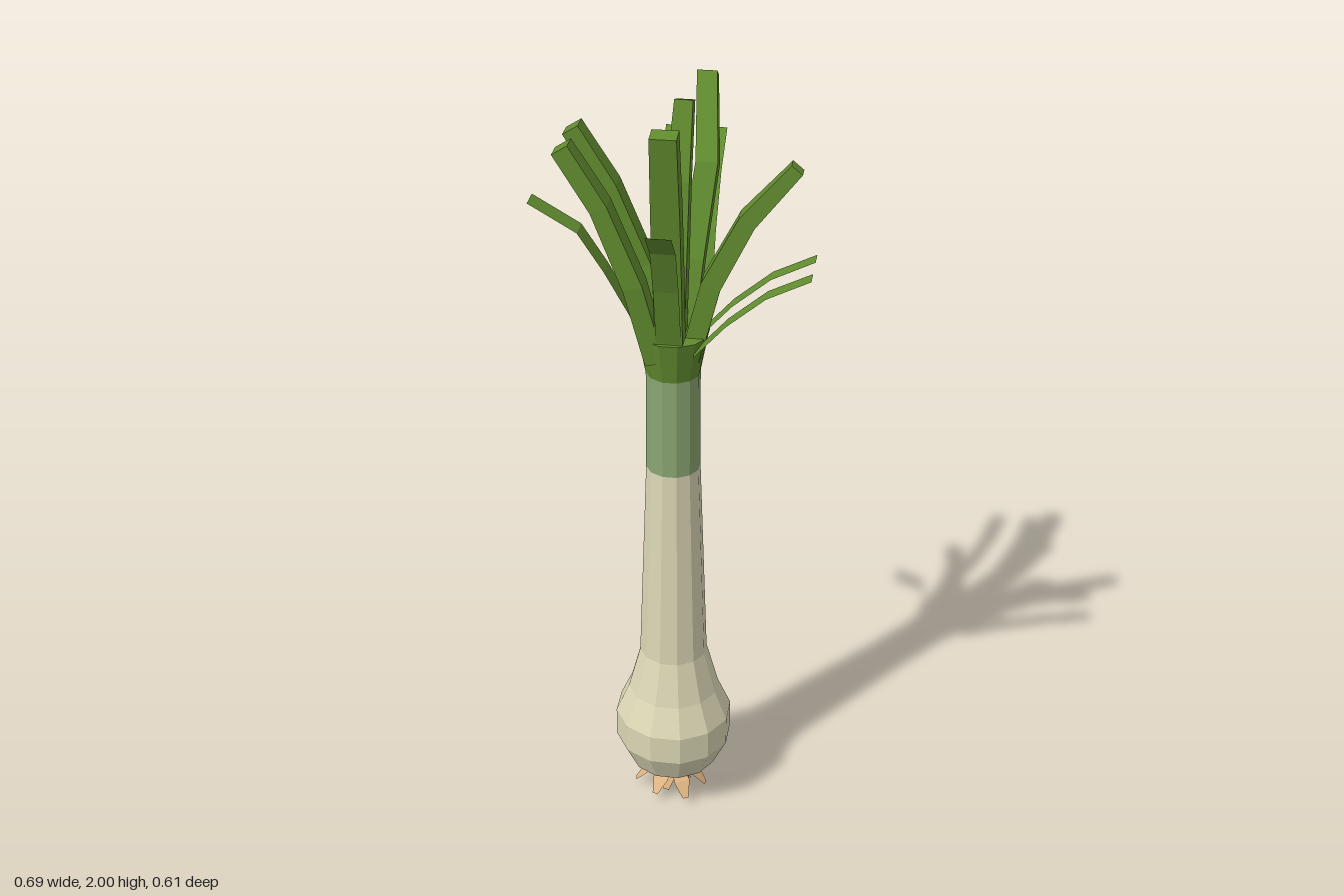
import * as THREE from 'three';

const flat = (name, color) => {
  const m = new THREE.MeshStandardMaterial({ color, flatShading: true, side: THREE.DoubleSide });
  m.name = name;
  return m;
};

export function createModel() {
  const group = new THREE.Group();
  const white = flat('creamWhite', 0xdcd7b5);
  const pale = flat('paleGreen', 0x8aa673);
  const green = flat('leafGreen', 0x618c2f);
  const tan = flat('rootTan', 0xdfb383);
  const CZ = 0.072; // the stem axis

  const add = (name, geometry, material) => {
    const mesh = new THREE.Mesh(geometry, material);
    mesh.name = name;
    group.add(mesh);
    return mesh;
  };

  // Twelve-sided stem sections
  const lathe = (name, profile, material) => {
    const pts = profile.map(([r, y]) => new THREE.Vector2(r, y));
    add(name, new THREE.LatheGeometry(pts, 12, Math.PI / 12), material).position.z = CZ;
  };
  lathe('bulb', [[0, 0.07], [0.065, 0.075], [0.118, 0.11], [0.157, 0.19], [0.157, 0.27],
    [0.122, 0.35], [0.09, 0.47], [0.07, 1.04]], white);
  lathe('paleStem', [[0.07, 1.04], [0.069, 1.31]], pale);
  lathe('collar', [[0.069, 1.31], [0.09, 1.42], [0, 1.42]], green);

  // Bend a unit box or plane along a path of [x, y, z, width, thickness]
  const sweep = (name, path, side, material, sheet) => {
    const n = path.length - 1;
    const g = sheet ? new THREE.PlaneGeometry(1, 1, 1, n) : new THREE.BoxGeometry(1, 1, 1, 1, n, 1);
    const s = new THREE.Vector3(...side).normalize();
    const at = (i) => new THREE.Vector3().fromArray(path[i]);
    const frames = path.map((_, i) => {
      const t = at(Math.min(n, i + 1)).sub(at(Math.max(0, i - 1))).normalize();
      return s.clone().cross(t).normalize();
    });
    const p = g.attributes.position;
    for (let i = 0; i < p.count; i++) {
      const k = Math.round((p.getY(i) + 0.5) * n);
      const v = at(k).addScaledVector(s, p.getX(i) * path[k][3]);
      if (!sheet) v.addScaledVector(frames[k], p.getZ(i) * path[k][4]);
      p.setXYZ(i, v.x, v.y, v.z);
    }
    g.computeVertexNormals();
    return add(name, g, material);
  };
  const X = [1, 0, 0], Z = [0, 0, 1];

  // Thick leaves
  for (const [z0, z1] of [[0.025, 0.004], [0.115, 0.135]]) {
    sweep('leftLeaf', [[-0.035, 1.36, z0, 0.055, 0.05], [-0.085, 1.57, z1, 0.058, 0.05],
      [-0.165, 1.77, z1, 0.058, 0.045], [-0.255, 1.913, z1, 0.05, 0.045]], Z, green);
  }
  sweep('rightLeaf', [[0.045, 1.36, CZ, 0.065, 0.05], [0.095, 1.56, CZ, 0.064, 0.05],
    [0.18, 1.73, CZ, 0.056, 0.045], [0.295, 1.868, CZ, 0.034, 0.035]], Z, green);
  sweep('frontLeaf', [[0, 1.36, 0.115, 0.068, 0.05], [0, 1.58, 0.145, 0.07, 0.05],
    [0, 1.77, 0.175, 0.07, 0.048], [0, 1.985, 0.21, 0.064, 0.045]], X, green);
  sweep('middleLeaf', [[0, 1.36, 0.075, 0.06, 0.05], [0.004, 1.6, 0.055, 0.06, 0.05],
    [0.006, 1.8, 0.025, 0.058, 0.045], [0.012, 1.982, -0.033, 0.045, 0.04]], X, green);
  sweep('backLeaf', [[0.015, 1.36, 0.03, 0.06, 0.05], [0.035, 1.58, -0.02, 0.06, 0.05],
    [0.06, 1.8, -0.095, 0.055, 0.045], [0.042, 1.985, -0.22, 0.05, 0.04]], X, green);

  // Thin drooping leaves
  for (const z of [0.015, 0.126]) {
    sweep('rightThinLeaf', [[0.06, 1.39, z, 0.048], [0.14, 1.48, z, 0.048],
      [0.235, 1.56, z, 0.048], [0.342, 1.613, z, 0.046]], Z, green, true);
  }
  for (const x of [-0.052, 0.058]) {
    sweep('backThinLeaf', [[x, 1.39, 0, 0.046], [x, 1.62, -0.1, 0.046],
      [x, 1.74, -0.195, 0.046], [x, 1.812, -0.305, 0.046]], X, green, true);
  }
  sweep('leftThinLeaf', [[-0.06, 1.39, CZ, 0.06], [-0.165, 1.58, CZ, 0.06],
    [-0.23, 1.68, CZ, 0.06], [-0.35, 1.75, CZ, 0.06]], Z, green, true);
  sweep('frontThinLeaf', [[0, 1.39, 0.14, 0.062], [0, 1.58, 0.19, 0.062],
    [0, 1.7, 0.235, 0.062], [0, 1.77, 0.305, 0.062]], X, green, true);

  // Splayed roots: an outer ring and a steeper inner ring
  const root = (a, r, y, w) => {
    const c = Math.cos(a), s = Math.sin(a);
    sweep('root', [[0.025 * c, 0.082, CZ + 0.025 * s, w * 0.6],
      [r * 0.7 * c, 0.06, CZ + r * 0.7 * s, w], [r * c, y, CZ + r * s, w * 0.35]], [-s, 0, c], tan, true);
  };
  for (let i = 0; i < 7; i++) root(i * Math.PI * 2 / 7 + 0.2, 0.095 + 0.01 * (i % 2), 0.025, 0.045);
  for (let i = 0; i < 5; i++) root(i * Math.PI * 2 / 5 + 0.6, 0.05, i % 2 ? 0.012 : 0, 0.05);

  return group;
}
